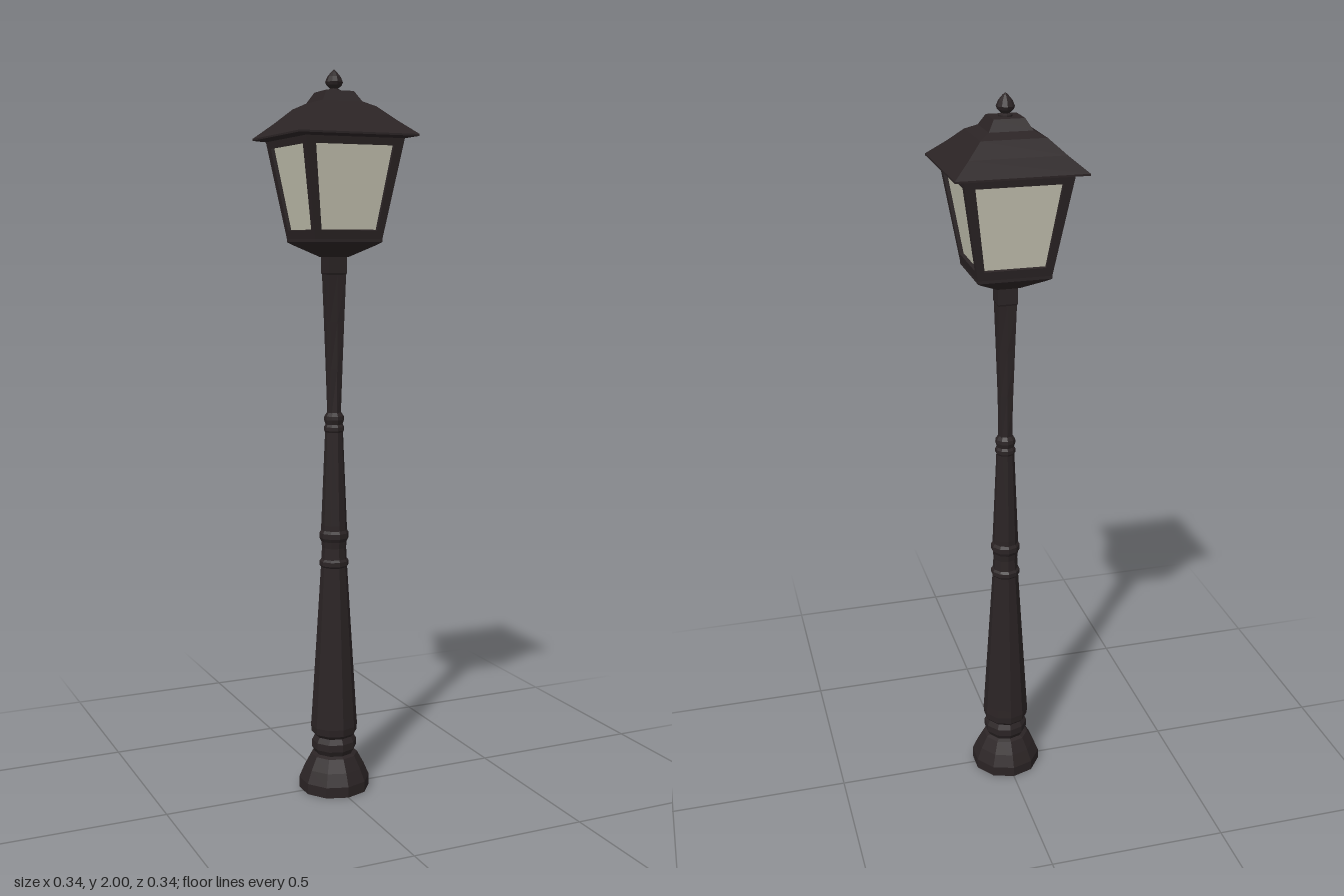
import * as THREE from 'three';

const metal = new THREE.MeshStandardMaterial({ color: 0x2b2425, flatShading: true });
const glassMat = new THREE.MeshStandardMaterial({ color: 0xc8c6b4, flatShading: true, side: THREE.DoubleSide });

const part = (name, geometry, material = metal) => {
  const mesh = new THREE.Mesh(geometry, material);
  mesh.name = name;
  return mesh;
};

// Faceted turning from [radius, height] pairs, listed bottom to top
const turned = (name, profile, sides = 10) =>
  part(name, new THREE.LatheGeometry(profile.map(([r, y]) => new THREE.Vector2(r, y)), sides));

// Square turning: the pairs give half widths, sides face the axes
const square = (name, profile) =>
  part(name, new THREE.LatheGeometry(
    profile.map(([h, y]) => new THREE.Vector2(h * Math.SQRT2, y)), 4, Math.PI / 4));

// Upper shaft: round at the bottom, becoming square at the top
function upperShaft() {
  const y0 = 1.07, y1 = 1.46;
  const geo = new THREE.CylinderGeometry(0.025, 0.02, y1 - y0, 8, 3);
  geo.translate(0, (y0 + y1) / 2, 0);
  const p = geo.attributes.position;
  for (let i = 0; i < p.count; i++) {
    const x = p.getX(i), z = p.getZ(i);
    const t = (p.getY(i) - y0) / (y1 - y0);
    const corner = Math.abs(x) > 0.005 && Math.abs(z) > 0.005;
    const s = corner ? 1 + t * (Math.SQRT2 - 1) : 1;
    p.setX(i, x * s);
    p.setZ(i, z * s);
  }
  return part('upperShaft', geo);
}

// Symmetric trapezoid outline
const trapezoid = (Type, wBottom, yBottom, wTop, yTop) => new Type([
  new THREE.Vector2(-wBottom, yBottom), new THREE.Vector2(wBottom, yBottom),
  new THREE.Vector2(wTop, yTop), new THREE.Vector2(-wTop, yTop),
]);

// One leaning lantern side: a frame with a recessed pane
function lanternSide(angle) {
  const rise = 0.267, lean = 0.044, length = Math.hypot(rise, lean), depth = 0.02;
  const outline = trapezoid(THREE.Shape, 0.098, 0, 0.142, length);
  outline.holes.push(trapezoid(THREE.Path, 0.081, 0.023, 0.112, 0.246));
  const frameGeo = new THREE.ExtrudeGeometry(outline, { depth, bevelEnabled: false });
  frameGeo.translate(0, 0, -depth);
  const paneGeo = new THREE.ShapeGeometry(trapezoid(THREE.Shape, 0.085, 0.018, 0.116, 0.25));
  paneGeo.translate(0, 0, -0.01);

  const panel = new THREE.Group();
  panel.add(part('frame', frameGeo), part('glassPane', paneGeo, glassMat));
  panel.position.set(0, 1.553, 0.098);
  panel.rotation.x = Math.atan2(lean, rise);

  const side = new THREE.Group();
  side.name = 'lanternSide';
  side.add(panel);
  side.rotation.y = angle;
  return side;
}

export function createModel() {
  const model = new THREE.Group();
  model.name = 'streetLamp';

  // Post
  model.add(
    turned('base', [[0, 0], [0.1, 0], [0.1, 0.03], [0.085, 0.065], [0.066, 0.1], [0.055, 0.105],
      [0.063, 0.12], [0.063, 0.14], [0.055, 0.155], [0.064, 0.165], [0.066, 0.185]]),
    turned('lowerShaft', [[0.066, 0.185], [0.064, 0.21], [0.037, 0.645], [0.041, 0.65],
      [0.041, 0.662], [0.036, 0.668], [0.034, 0.7], [0.036, 0.718]]),
    turned('middleShaft', [[0.036, 0.718], [0.041, 0.728], [0.041, 0.742], [0.036, 0.75],
      [0.036, 0.765], [0.025, 1.025], [0.028, 1.03], [0.028, 1.04], [0.024, 1.047],
      [0.028, 1.06], [0.027, 1.07], [0.02, 1.08]]),
    upperShaft(),
    square('postCollar', [[0, 1.455], [0.024, 1.455], [0.027, 1.462], [0.027, 1.512]]),
  );

  // Lantern
  const lantern = new THREE.Group();
  lantern.name = 'lantern';
  lantern.add(square('lanternBottom', [[0, 1.505], [0.03, 1.505], [0.088, 1.538],
    [0.098, 1.545], [0.098, 1.555], [0.08, 1.562], [0, 1.562]]));
  for (let i = 0; i < 4; i++) lantern.add(lanternSide(i * Math.PI / 2));
  lantern.add(
    square('roof', [[0, 1.815], [0.14, 1.815], [0.17, 1.82], [0.17, 1.825], [0.125, 1.863],
      [0.085, 1.9], [0.057, 1.914], [0.04, 1.942], [0, 1.942]]),
    turned('finial', [[0.018, 1.94], [0.018, 1.946], [0.011, 1.95], [0.021, 1.959],
      [0.024, 1.967], [0.018, 1.981], [0.007, 1.994], [0, 2]]),
  );
  model.add(lantern);
  return model;
}
